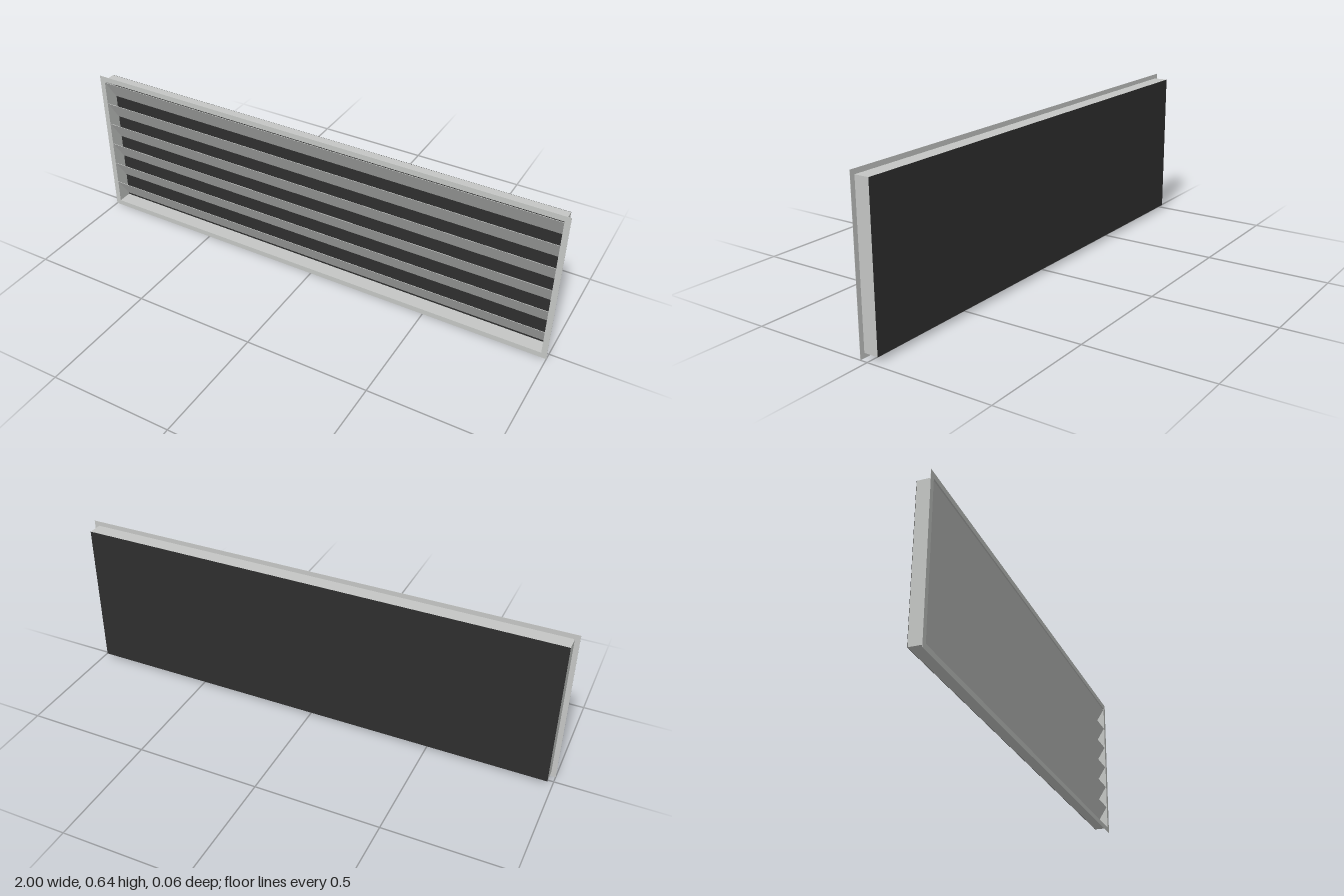
import * as THREE from 'three';

const W = 2, H = 0.64, D = 0.06;      // overall size
const LIP = 0.019;                    // flange overhang around the body
const WALL = 0.003;                   // sheet thickness of the body
const SLATS = 6, PITCH = 0.0985, SLAT_H = 0.088;

// Rectangular ring in the xy plane, extruded along z
function ring(w, h, border, z0, z1) {
  const rect = (T, a, b) => {
    const r = new T();
    r.moveTo(-a, -b).lineTo(a, -b).lineTo(a, b).lineTo(-a, b).closePath();
    return r;
  };
  const shape = rect(THREE.Shape, w / 2, h / 2);
  shape.holes.push(rect(THREE.Path, w / 2 - border, h / 2 - border));
  const g = new THREE.ExtrudeGeometry(shape, { depth: z1 - z0, bevelEnabled: false });
  return g.translate(0, H / 2, z0);
}

export function createModel() {
  const model = new THREE.Group();
  model.name = 'louverVent';

  const metal = new THREE.MeshStandardMaterial({ color: 0xc4c6c4 });
  metal.name = 'light grey metal';
  const dark = new THREE.MeshStandardMaterial({ color: 0x2e2e2e });
  dark.name = 'dark backing';

  const add = (name, geometry, material, parent = model) => {
    const mesh = new THREE.Mesh(geometry, material);
    mesh.name = name;
    parent.add(mesh);
    return mesh;
  };

  // Front flange and the shallow body behind it
  const bodyW = W - 2 * LIP, bodyH = H - 2 * LIP;
  add('flange', ring(W, H, LIP + WALL, D / 2 - 0.001, D / 2), metal);
  add('bodyWalls', ring(bodyW, bodyH, WALL, -D / 2 + 0.001, D / 2 - 0.001), metal);

  // Dark panel closing the back
  add('backPanel', new THREE.BoxGeometry(bodyW, bodyH, 0.001), dark)
    .position.set(0, H / 2, -D / 2 + 0.0005);

  // Slanted slats: upper edge at the front, lower edge at the back
  const slats = new THREE.Group();
  slats.name = 'slats';
  model.add(slats);
  const run = D - 0.005;
  const slatGeometry = new THREE.BoxGeometry(bodyW - 2 * WALL, Math.hypot(SLAT_H, run), 0.0015);
  for (let i = 0; i < SLATS; i++) {
    const slat = add('slat' + (i + 1), slatGeometry, metal, slats);
    slat.position.set(0, H / 2 + 0.002 + (i - (SLATS - 1) / 2) * PITCH, 0);
    slat.rotation.x = Math.atan2(run, SLAT_H);
  }

  return model;
}
